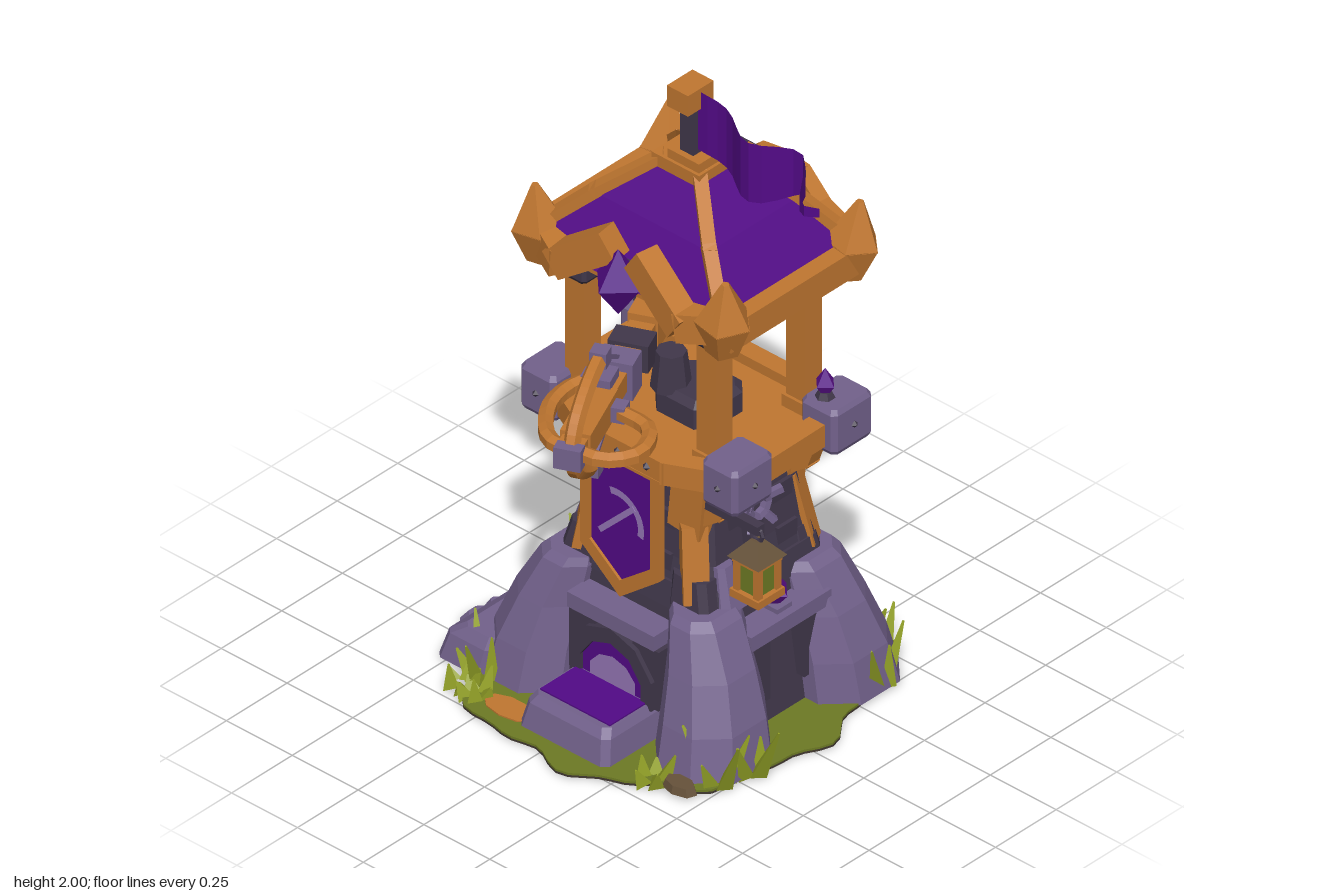
import * as THREE from 'three';

const M = {};
for (const [name, hex] of Object.entries({
  wood: 0xbf7630, cloth: 0x520a86, stone: 0x72618b, darkStone: 0x40374a, gem: 0x5a0f8a,
  moss: 0x6d7a24, grass: 0x919f26, dirt: 0x40372f, brass: 0x66523a, lilac: 0x9475b4,
})) M[name] = new THREE.MeshStandardMaterial({ color: hex, name });
M.cloth.side = THREE.DoubleSide;

const CX = 0.04, CZ = -0.08; // tower axis
const Y0 = 0.008; // foot of the stonework, just inside the ground slab
const V = (x, y, z) => new THREE.Vector3(x, y, z);

export function createModel() {
  const root = new THREE.Group();
  root.name = 'watchtower';

  // faceted mesh
  function add(name, geo, mat, x = 0, y = 0, z = 0, parent = root) {
    const g = geo.index ? geo.toNonIndexed() : geo;
    g.computeVertexNormals();
    const m = new THREE.Mesh(g, mat);
    m.name = name;
    m.position.set(x, y, z);
    parent.add(m);
    return m;
  }
  const box = (name, mat, w, h, d, x, y, z, p) => add(name, new THREE.BoxGeometry(w, h, d), mat, x, y, z, p);

  // bar from point a to point b
  function beam(name, mat, a, b, w, h, p) {
    const m = box(name, mat, w, h, a.distanceTo(b), 0, 0, 0, p);
    m.position.copy(a).lerp(b, 0.5);
    m.lookAt(b);
    return m;
  }
  function path(name, mat, pts, w, h) {
    for (let i = 0; i < pts.length - 1; i++) {
      const d = pts[i + 1].clone().sub(pts[i]).setLength(0.012);
      beam(name, mat, pts[i].clone().sub(d), pts[i + 1].clone().add(d), w, h);
    }
  }

  // chamfered block lofted through sections [y, x0, x1, z0, z1, chamfer]
  function loft(name, mat, secs, closed = true, p = root) {
    const pos = [];
    const rings = secs.map(([y, xa, xb, za, zb, c]) => {
      const x0 = Math.min(xa, xb), x1 = Math.max(xa, xb), z0 = Math.min(za, zb), z1 = Math.max(za, zb);
      return [[x1, z1 - c], [x1, z0 + c], [x1 - c, z0], [x0 + c, z0], [x0, z0 + c], [x0, z1 - c], [x0 + c, z1], [x1 - c, z1]]
        .map(([x, z]) => V(x, y, z));
    });
    const tri = (...t) => t.forEach(v => pos.push(v.x, v.y, v.z));
    for (let r = 0; r < rings.length - 1; r++) for (let i = 0; i < 8; i++) {
      const j = (i + 1) % 8, a = rings[r], b = rings[r + 1];
      tri(a[i], a[j], b[j]);
      tri(a[i], b[j], b[i]);
    }
    if (closed) for (let i = 1; i < 7; i++) {
      const a = rings[0], b = rings[rings.length - 1];
      tri(a[0], a[i + 1], a[i]);
      tri(b[0], b[i], b[i + 1]);
    }
    const g = new THREE.BufferGeometry();
    g.setAttribute('position', new THREE.Float32BufferAttribute(pos, 3));
    return add(name, g, mat, 0, 0, 0, p);
  }
  // section centred on the tower axis
  const sec = (y, hx, hz, c) => [y, CX - hx, CX + hx, CZ - hz, CZ + hz, c];

  function crystal(name, x, y, z, r, h, mat = M.gem, p = root) {
    const m = add(name, new THREE.OctahedronGeometry(1), mat, x, y, z, p);
    m.scale.set(r, h, r);
    return m;
  }
  const sides = [-1, 1];
  const corners = f => sides.forEach(sx => sides.forEach(sz => f(sx, sz)));

  // ground patch, lobed outline
  const outline = new THREE.Shape();
  for (let i = 0; i <= 90; i++) {
    const t = i / 90 * Math.PI * 2;
    const r = 0.568 - 0.012 * Math.cos(4 * t) + 0.02 * Math.sin(9 * t + 1) + 0.012 * Math.sin(17 * t);
    outline[i ? 'lineTo' : 'moveTo'](r * Math.cos(t), r * Math.sin(t) + 0.01);
  }
  [['dirtUnderside', M.dirt, 0], ['mossGround', M.moss, 0.007]].forEach(([n, mat, y]) =>
    add(n, new THREE.ExtrudeGeometry(outline, { depth: 0.007, bevelEnabled: false }).rotateX(-Math.PI / 2), mat, 0, y, 0));
  add('dirtPatch', new THREE.CylinderGeometry(0.09, 0.09, 0.005, 9), M.wood, -0.19, 0.016, 0.44).scale.z = 0.5;
  add('flatStone', new THREE.CylinderGeometry(0.05, 0.06, 0.025, 7), M.brass, 0.42, 0.022, 0.4).scale.z = 0.6;

  // boulders beside the front corner
  loft('boulder', M.stone, [[Y0, -0.53, -0.35, 0.06, 0.38, 0.02], [0.09, -0.51, -0.34, 0.08, 0.36, 0.02], [0.125, -0.46, -0.34, 0.1, 0.34, 0.02]]);
  loft('smallBoulder', M.stone, [[Y0, -0.6, -0.52, 0.12, 0.22, 0.02], [0.035, -0.58, -0.53, 0.14, 0.2, 0.015]]);
  loft('smallBoulder', M.stone, [[Y0, -0.59, -0.52, 0.07, 0.13, 0.02], [0.04, -0.57, -0.53, 0.08, 0.12, 0.015]]);

  // grass tufts of broad blades
  [[-0.36, 0.37, 0.2], [-0.31, 0.45, 0.08], [-0.38, 0.44, 0.08], [0.33, 0.42, 0.09], [0.47, 0.3, 0.2], [0.5, 0.2, 0.2], [0.47, -0.36, 0.2],
    [0.38, -0.46, 0.14], [0.28, -0.5, 0.1], [-0.43, -0.4, 0.18], [-0.34, -0.47, 0.12], [-0.49, -0.2, 0.16], [-0.48, -0.1, 0.12]]
    .forEach(([x, z, h], k) => {
      for (let i = 0; i < 5; i++) {
        const a = i * 1.26 + k, l = h * (0.75 + 0.25 * Math.sin(i * 2.3 + k)), d = V(Math.cos(a), 0, Math.sin(a));
        const blade = add('grassBlade', new THREE.CylinderGeometry(0.004, 0.028, l, 3).translate(0, l / 2, 0), M.grass,
          x + d.x * 0.03, 0.008, z + d.z * 0.03);
        blade.quaternion.setFromUnitVectors(V(0, 1, 0), d.multiplyScalar(i ? 0.45 : 0.05).add(V(0, 1, 0)).normalize());
      }
    });

  // tower core and masonry
  loft('towerWall', M.darkStone, [sec(Y0, 0.34, 0.31, 0.05), sec(0.4, 0.28, 0.26, 0.05), sec(0.55, 0.245, 0.225, 0.04), sec(0.86, 0.2, 0.19, 0.04)]);
  loft('wallCollar', M.darkStone, [sec(0.4, 0.285, 0.265, 0.05), sec(0.48, 0.27, 0.25, 0.05)]);
  for (let row = 0; row < 5; row++) for (let i = 0; i < 3; i++) {
    const y = 0.53 + row * 0.066, t = (0.86 - y) / 0.31, o = -0.1 + i * 0.09 + (row % 2) * 0.04;
    if ((row + i) % 2) continue;
    sides.forEach(s => {
      box('brick', M.darkStone, 0.08, 0.055, 0.02, CX + o, y, CZ + s * (0.19 + 0.035 * t));
      box('brick', M.darkStone, 0.02, 0.055, 0.08, CX + s * (0.2 + 0.043 * t), y, CZ + o);
    });
  }

  // corner buttresses and leaning timbers
  corners((sx, sz) => {
    const s = (y, a, b, c, d, ch) => [y, CX + sx * a, CX + sx * b, CZ + 0.02 + sz * c, CZ + 0.02 + sz * d, ch];
    loft('buttress', M.stone, [s(Y0, 0.18, 0.475, 0.1, 0.43, 0.085), s(0.14, 0.18, 0.45, 0.1, 0.4, 0.08), s(0.28, 0.17, 0.4, 0.1, 0.355, 0.07),
      s(0.41, 0.155, 0.33, 0.1, 0.31, 0.05), s(0.435, 0.16, 0.305, 0.11, 0.29, 0.04)]);
    loft('buttressCap', M.darkStone, [s(0.42, 0.13, 0.28, 0.14, 0.25, 0.02), s(0.52, 0.13, 0.255, 0.14, 0.235, 0.02)]);
    const front = sz > 0, z = front ? 0.11 : -0.25, k = front ? 0.16 : 0.185;
    path('cornerTimber', M.wood, [V(CX + sx * (k + (front ? 0.03 : 0.045)), 0.45, z + sz * 0.025), V(CX + sx * k, 0.66, z), V(CX + sx * (k + 0.02), 0.86, z)],
      0.075, front ? 0.12 : 0.075);
    path('curvedBracket', M.wood, [V(CX + sx * 0.2, 0.7, z), V(CX + sx * 0.27, 0.75, z), V(CX + sx * 0.31, 0.86, z)], 0.05, 0.04);
  });
  // pale stone stubs on the side walls
  sides.forEach(s => loft('sideStub', M.stone, [[0.42, CX + s * 0.2, CX + s * 0.31, 0.02, 0.13, 0.02], [0.55, CX + s * 0.2, CX + s * 0.27, 0.05, 0.11, 0.015]]));

  // lintels, niches, steps and gems on the four faces
  for (let i = 0; i < 4; i++) {
    const g = new THREE.Group();
    g.name = 'baseFace';
    const d = i % 2 ? 0.325 : 0.3;
    box('lintel', M.stone, 0.33, 0.05, 0.09, 0, 0.335, d, g);
    sides.forEach(s => box('nicheStone', M.darkStone, 0.1, 0.2, 0.06, s * 0.12, 0.2, d, g));
    if (i % 2 === 0) {
      const e = i ? 0.45 : 0.55;
      loft('doorStep', M.stone, [[Y0, -0.17, 0.17, 0.28, e, 0.02], [0.09, -0.155, 0.155, 0.28, e - 0.02, 0.02], [0.115, -0.14, 0.14, 0.28, e - 0.04, 0.02]], true, g);
    }
    if (i) {
      crystal('faceGem', 0, 0.41, d - 0.02, 0.05, 0.062, M.gem, g);
      box('gemSeat', M.stone, 0.06, 0.02, 0.06, 0, 0.365, d - 0.01, g);
    }
    g.position.set(CX, 0, CZ + 0.01);
    g.rotation.y = i * Math.PI / 2;
    root.add(g);
  }

  // glowing front archway
  const arch = (w, h) => {
    const s = new THREE.Shape();
    s.moveTo(-w, 0); s.lineTo(w, 0); s.lineTo(w, h * 0.45); s.lineTo(w * 0.6, h * 0.85); s.lineTo(0, h);
    s.lineTo(-w * 0.6, h * 0.85); s.lineTo(-w, h * 0.45);
    return s;
  };
  const frame = arch(0.155, 0.21);
  frame.holes.push(arch(0.115, 0.16));
  add('archFrame', new THREE.ExtrudeGeometry(frame, { depth: 0.05, bevelEnabled: false }), M.darkStone, CX, 0.1, 0.225);
  add('archGlow', new THREE.ShapeGeometry(arch(0.12, 0.165)), M.cloth, CX, 0.1, 0.262);
  add('archGlowCore', new THREE.ShapeGeometry(arch(0.085, 0.095)), M.lilac, CX, 0.115, 0.265);
  box('glowingStep', M.cloth, 0.265, 0.008, 0.15, CX, 0.116, 0.345);
  box('backStepTop', M.lilac, 0.27, 0.008, 0.07, CX, 0.116, -0.445);
  crystal('backStepCrystal', CX, 0.14, -0.41, 0.03, 0.06);

  // platform
  loft('platformFooting', M.darkStone, [sec(0.78, 0.23, 0.21, 0.04), sec(0.87, 0.29, 0.24, 0.06)]);
  loft('deck', M.wood, [sec(0.86, 0.34, 0.27, 0.08), sec(0.905, 0.34, 0.27, 0.08)]);
  const rx = 0.345, rz = 0.205;
  sides.forEach(s => {
    const z = CZ + s * rz, out = s > 0 ? 0.09 : 0.045;
    path('railBeam', M.wood, [V(CX - rx, 0.9, z), V(CX - 0.16, 0.9, z + s * out), V(CX + 0.16, 0.9, z + s * out), V(CX + rx, 0.9, z)], 0.06, 0.075);
    path('sideRailBeam', M.wood, [V(CX + s * rx, 0.9, CZ - rz), V(CX + s * (rx + 0.005), 0.9, CZ + rz)], 0.06, 0.075);
    for (let i = -2; i <= 2; i += 2) crystal('railStud', CX + i * 0.055, 0.9, z + s * (out + 0.03), 0.014, 0.014, M.darkStone);
  });
  corners((sx, sz) => {
    const x = CX + sx * rx, z = CZ + sz * rz;
    loft('cornerBlock', M.stone, [[0.84, x - 0.06, x + 0.06, z - 0.075, z + 0.075, 0.012], [0.855, x - 0.067, x + 0.067, z - 0.083, z + 0.083, 0.015],
      [0.975, x - 0.067, x + 0.067, z - 0.083, z + 0.083, 0.015], [0.99, x - 0.058, x + 0.058, z - 0.073, z + 0.073, 0.012]]);
    crystal('blockStud', x + sx * 0.067, 0.915, z, 0.012, 0.012, M.darkStone);
    crystal('blockStud', x, 0.915, z + sz * 0.083, 0.012, 0.012, M.darkStone);
    if (sz < 0) {
      crystal('blockCrystal', x - 0.012, 1.035, z + 0.035, 0.034, 0.052);
      add('crystalSeat', new THREE.CylinderGeometry(0.02, 0.035, 0.03, 6), M.darkStone, x - 0.012, 0.995, z + 0.035);
    }
    // roof posts
    const px = CX + sx * 0.25 - 0.015, pz = sz > 0 ? 0.1 : -0.27;
    box('roofPost', M.wood, 0.072, 0.46, 0.07, px, 1.12, pz);
    box('postFoot', M.wood, 0.09, 0.05, 0.09, px, 0.92, pz);
    loft('postCapital', M.darkStone, [[1.31, px - 0.045, px + 0.045, pz - 0.045, pz + 0.045, 0.01], [1.33, px - 0.06, px + 0.06, pz - 0.06, pz + 0.06, 0.01],
      [1.4, px - 0.06, px + 0.06, pz - 0.06, pz + 0.06, 0.01]]);
  });

  // lanterns: towards the front on the left side, towards the back on the right
  [[0.455, 0.12], [-0.37, -0.17]].forEach(([x, z]) => {
    const g = new THREE.Group();
    g.name = 'lantern';
    box('lanternBase', M.wood, 0.11, 0.025, 0.11, 0, -0.07, 0, g);
    box('lanternTop', M.wood, 0.1, 0.018, 0.1, 0, 0.045, 0, g);
    box('lanternGlass', M.moss, 0.076, 0.11, 0.076, 0, -0.01, 0, g);
    corners((a, b) => box('lanternPost', M.wood, 0.02, 0.12, 0.02, a * 0.038, -0.01, b * 0.038, g));
    add('lanternRoof', new THREE.CylinderGeometry(0.02, 0.085, 0.055, 4).rotateY(Math.PI / 4), M.brass, 0, 0.08, 0, g);
    add('lanternRing', new THREE.TorusGeometry(0.022, 0.007, 5, 8), M.darkStone, 0, 0.125, 0, g);
    g.position.set(x, 0.625, z);
    root.add(g);
    const s = Math.sign(x);
    beam('lanternArm', M.darkStone, V(CX + s * 0.2, 0.77, z), V(x + s * 0.015, 0.77, z), 0.03, 0.03);
  });

  // iron claw ornaments on the side walls
  sides.forEach(s => {
    const x = CX + s * 0.26, z = -0.05;
    add('clawRing', new THREE.TorusGeometry(0.04, 0.016, 5, 8).rotateY(Math.PI / 2), M.stone, x, 0.69, z);
    for (let i = 0; i < 5; i++) {
      const a = i * 1.257 + Math.PI / 2, c = Math.cos(a), n = Math.sin(a);
      beam('claw', M.stone, V(x, 0.69 + n * 0.04, z + c * 0.04), V(x + s * 0.02, 0.69 + n * 0.085, z + c * 0.085), 0.02, 0.02);
    }
  });

  // banner
  const pennant = (w, top, side, tip) => new THREE.Shape([[-w, top], [-w, side], [0, tip], [w, side], [w, top]].map(p => new THREE.Vector2(...p)));
  const border = pennant(0.15, 0.87, 0.53, 0.41);
  border.holes.push(pennant(0.115, 0.86, 0.555, 0.465));
  add('bannerBorder', new THREE.ExtrudeGeometry(border, { depth: 0.022, bevelEnabled: false }), M.wood, 0.05, 0, 0.225);
  add('bannerCloth', new THREE.ShapeGeometry(pennant(0.12, 0.865, 0.55, 0.46)), M.cloth, 0.05, 0, 0.238);
  beam('bannerBolt', M.lilac, V(-0.03, 0.6, 0.24), V(0.1, 0.73, 0.24), 0.008, 0.018);
  add('bannerBow', new THREE.RingGeometry(0.08, 0.103, 14, 1, -0.25, 2.1), M.lilac, 0.035, 0.665, 0.242);

  // crossbow on its pedestal
  loft('pedestal', M.darkStone, [[0.9, -0.05, 0.17, -0.17, 0.03, 0.04], [0.97, -0.05, 0.17, -0.17, 0.03, 0.04], [0.99, -0.03, 0.15, -0.15, 0.01, 0.03]]);
  add('pedestalNeck', new THREE.CylinderGeometry(0.045, 0.06, 0.12, 8), M.darkStone, 0.0, 1.03, CZ + 0.06);
  const bow = new THREE.Group();
  bow.name = 'crossbow';
  box('stock', M.wood, 0.075, 0.065, 0.72, 0, 0, 0, bow);
  box('stockHead', M.wood, 0.09, 0.08, 0.24, 0, 0.005, 0.2, bow);
  box('stockButt', M.wood, 0.09, 0.11, 0.12, 0, 0, -0.33, bow);
  box('stockNose', M.stone, 0.08, 0.07, 0.04, 0, 0, 0.375, bow);
  box('stockCollar', M.stone, 0.11, 0.12, 0.08, 0, 0, -0.06, bow);
  box('trigger', M.darkStone, 0.12, 0.09, 0.08, 0, 0, -0.18, bow);
  box('sight', M.stone, 0.05, 0.03, 0.08, 0, 0.055, 0.05, bow);
  [[[0, 0, 0.36], [0, 0.07, 0.32], [0, 0.13, 0.22], [0, 0.16, 0.1]],
    [[0, 0, 0.36], [0, -0.07, 0.33], [0, -0.13, 0.25], [0, -0.165, 0.17]],
    [[0, 0, 0.35], [-0.08, 0, 0.31], [-0.13, 0, 0.16], [-0.1, 0, 0.04], [-0.06, 0, 0]],
    [[0, 0, 0.34], [0.1, 0, 0.36], [0.18, 0, 0.3], [0.17, 0, 0.18], [0.06, 0, 0.12]]].forEach((pts, i) => {
    const c = pts.map(p => V(...p)), tip = c[c.length - 1];
    add('bowArm', new THREE.TubeGeometry(new THREE.CatmullRomCurve3(c), 12, 0.025, 6), M.wood, 0, 0, 0, bow);
    box('bowTip', M.stone, 0.05, 0.05, 0.05, tip.x, tip.y, tip.z, bow);
    if (i < 2) beam('bowString', M.stone, tip, V(0, i ? -0.05 : 0.06, -0.05), 0.012, 0.012, bow);
  });
  bow.position.set(0, 1.1, 0.225);
  bow.rotation.y = 0.42;
  root.add(bow);

  // roof cloth, ribs and eaves
  const RX = 0.03, RZ = -0.09;
  const rs = (y, hx, hz) => [y, RX - hx, RX + hx, RZ - hz, RZ + hz, 0.004];
  loft('roofCloth', M.cloth, [rs(1.44, 0.37, 0.3), rs(1.6, 0.22, 0.185), rs(1.72, 0.08, 0.07)], false);
  corners((sx, sz) => {
    path('roofRib', M.wood, [V(RX + sx * 0.36, 1.46, RZ + sz * 0.28), V(RX + sx * 0.215, 1.605, RZ + sz * 0.18), V(RX + sx * 0.07, 1.725, RZ + sz * 0.06)], 0.04, 0.035);
    const horn = add('eaveHorn', new THREE.CylinderGeometry(0.012, 0.085, 0.135, 5).translate(0, 0.065, 0), M.wood, RX + sx * 0.35, 1.47, RZ + sz * 0.265);
    const foot = add('eaveHornFoot', new THREE.CylinderGeometry(0.085, 0.05, 0.11, 5).translate(0, -0.055, 0), M.wood, RX + sx * 0.35, 1.47, RZ + sz * 0.265);
    [horn, foot].forEach(m => m.rotation.set(sz * 0.1, 0.5 * sx, -sx * 0.1));
  });
  sides.forEach(s => {
    path('sideEave', M.wood, [V(RX + s * 0.365, 1.43, RZ - 0.27), V(RX + s * 0.365, 1.43, RZ + 0.27)], 0.055, 0.09);
    path('innerFrame', M.wood, [V(RX - 0.35, 1.405, RZ + s * 0.22), V(RX + 0.35, 1.405, RZ + s * 0.22)], 0.05, 0.06);
    path('frontGable', M.wood, [V(RX + s * 0.36, 1.45, 0.16), V(RX + s * 0.23, 1.43, 0.22), V(RX + s * 0.06, 1.55, 0.195)], 0.075, 0.095);
    path('backGable', M.wood, [V(RX + s * 0.36, 1.44, -0.37), V(RX + s * 0.15, 1.44, -0.435), V(RX + s * 0.07, 1.51, -0.44), V(RX, 1.52, -0.44)], 0.05, 0.08);
  });
  box('backPlate', M.darkStone, 0.25, 0.08, 0.03, RX - 0.02, 1.515, -0.415);
  box('backKnob', M.wood, 0.1, 0.05, 0.06, RX - 0.04, 1.55, -0.375);
  box('gemBracket', M.darkStone, 0.06, 0.1, 0.05, 0.015, 1.45, 0.17);
  crystal('frontGem', 0.015, 1.45, 0.215, 0.08, 0.11, M.cloth);

  // finial and flag
  box('roofCap', M.wood, 0.18, 0.05, 0.15, 0.03, 1.72, -0.08);
  box('roofCapTop', M.wood, 0.12, 0.04, 0.11, 0.05, 1.755, -0.07);
  box('flagPole', M.darkStone, 0.05, 0.2, 0.05, 0.045, 1.85, -0.06);
  box('poleTop', M.wood, 0.08, 0.07, 0.105, 0.04, 1.965, -0.055);
  const flag = new THREE.PlaneGeometry(1, 1, 16, 2), fp = flag.attributes.position;
  for (let i = 0; i < fp.count; i++) {
    const u = fp.getX(i) + 0.5, v = fp.getY(i);
    const h = 0.2 * (1 - 0.85 * THREE.MathUtils.smoothstep(u, 0.45, 1));
    fp.setXYZ(i, 0.07 + 0.525 * u, 1.87 - 0.03 * u + 0.018 * Math.cos(u * 7) + v * h, -0.055 + u * 0.085 * Math.sin(u * 12 - 3.2) + 0.02 * u);
  }
  add('flag', flag, M.cloth);
  return root;
}
